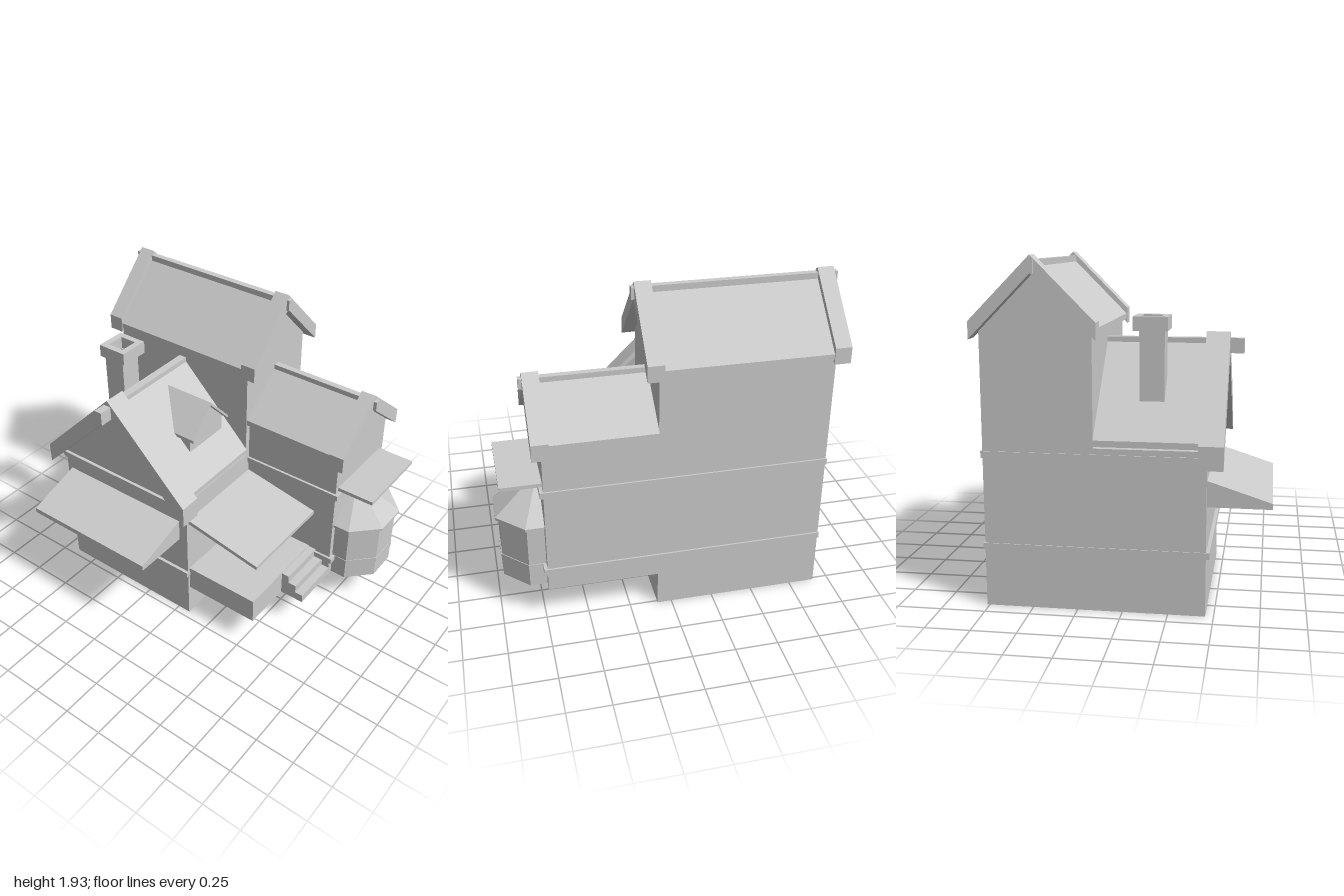
import * as THREE from 'three';

const mat = new THREE.MeshStandardMaterial({ color: 0xcccccc, flatShading: true, side: THREE.DoubleSide });

export function createModel() {
  const house = new THREE.Group();
  house.name = 'house';

  const add = (name, geometry) => {
    const mesh = new THREE.Mesh(geometry, mat);
    mesh.name = name;
    house.add(mesh);
    return mesh;
  };

  // Box given by its limits on each axis
  const boxGeo = (x0, x1, y0, y1, z0, z1) =>
    new THREE.BoxGeometry(x1 - x0, y1 - y0, z1 - z0)
      .translate((x0 + x1) / 2, (y0 + y1) / 2, (z0 + z1) / 2);
  const box = (name, ...limits) => add(name, boxGeo(...limits));

  const polygon = (points) => new THREE.Shape(points.map(([x, y]) => new THREE.Vector2(x, y)));
  const extrude = (shape, depth) => new THREE.ExtrudeGeometry(shape, { depth, bevelEnabled: false });

  // Profile in (across, y) run along an axis from a to b, centred across at c
  const run = (name, points, axis, a, b, c) => {
    const g = extrude(polygon(points), b - a);
    if (axis === 'x') g.rotateY(Math.PI / 2).translate(a, 0, c);
    else g.translate(c, 0, a);
    return add(name, g);
  };

  // Pitched roof of two sloping slabs: peak height, slope, half width, vertical thickness
  const roof = (name, axis, a, b, c, peak, slope, w, t) => {
    const eave = peak - slope * w;
    run(name, [[-w, eave - t], [0, peak - t], [w, eave - t], [w, eave], [0, peak], [-w, eave]], axis, a, b, c);
  };

  // Walls with a gable at each end
  const gable = (name, axis, a, b, c, base, peak, slope, w) => {
    const eave = peak - slope * w;
    run(name, [[-w, base], [w, base], [w, eave], [0, peak], [-w, eave]], axis, a, b, c);
  };

  // Rectangular frame lying flat, with a square opening
  const frame = (name, x0, x1, y0, y1, z0, z1, inset) => {
    const rect = (i) => [[x0 + i, -z1 + i], [x1 - i, -z1 + i], [x1 - i, -z0 - i], [x0 + i, -z0 - i]];
    const shape = polygon(rect(0));
    shape.holes.push(polygon(rect(inset)));
    add(name, extrude(shape, y1 - y0).rotateX(-Math.PI / 2).translate(0, y0, 0));
  };

  // Main walls, open at top and bottom
  const walls = boxGeo(-0.905, 0.085, 0, 0.915, -0.765, 0.455);
  const index = Array.from(walls.index.array);
  index.splice(12, 12);
  walls.setIndex(index);
  walls.clearGroups();
  add('mainWalls', walls);

  // Upper storeys and side wing
  gable('frontGable', 'z', -0.155, 0.455, -0.41, 0.9, 1.41, 1, 0.495);
  gable('towerWalls', 'x', -0.905, 0.085, -0.46, 0.9, 1.85, 1, 0.305);
  gable('wingWalls', 'x', 0.085, 0.73, -0.4775, 0.215, 1.375, 0.8, 0.2875);

  // Roofs with thicker end trims and ridge beams
  roof('towerRoof', 'x', -0.95, 0.13, -0.46, 1.895, 1.01, 0.335, 0.035);
  for (const x of [-0.975, 0.063]) roof('towerRoofTrim', 'x', x, x + 0.095, -0.46, 1.935, 1.01, 0.34, 0.095);
  box('towerRidgeBeam', -0.995, 0.175, 1.84, 1.91, -0.48, -0.44);

  roof('wingRoof', 'x', 0.085, 0.75, -0.47, 1.425, 0.8, 0.31, 0.035);
  roof('wingRoofTrim', 'x', 0.69, 0.785, -0.47, 1.47, 0.82, 0.33, 0.1);
  box('wingRidgeBeam', 0.085, 0.805, 1.38, 1.44, -0.49, -0.45);

  roof('frontRoof', 'z', -0.155, 0.45, -0.41, 1.46, 1, 0.5, 0.035);
  roof('frontRoofTrim', 'z', 0.41, 0.545, -0.41, 1.5, 1, 0.545, 0.13);
  box('frontRidgeBeam', -0.435, -0.385, 1.38, 1.465, -0.155, 0.625);

  // Belt courses around the walls
  for (const y of [0.325, 0.845]) {
    frame('mainBelt', -0.91, 0.084, y, y + 0.037, -0.775, 0.475, 0.06);
    box('frontBelt', -0.91, 0.09, y, y + 0.037, 0.44, 0.475);
    box('wingBelt', 0.05, 0.75, y, y + 0.037, -0.775, -0.175);
  }

  // Chimney with hollow cap
  frame('chimneyShaft', -0.725, -0.585, 1.0, 1.53, 0.07, 0.208, 0.015);
  frame('chimneyCap', -0.745, -0.555, 1.53, 1.607, 0.037, 0.228, 0.04);

  // Dormer on the right slope of the front roof
  gable('dormerWalls', 'x', -0.36, -0.055, 0.075, 1.075, 1.375, 1.05, 0.158);
  roof('dormerRoof', 'x', -0.37, -0.015, 0.075, 1.395, 1.06, 0.173, 0.02);

  // Awnings
  run('frontAwning', [[-0.455, 0.605], [-0.455, 0.75], [-0.803, 0.638], [-0.803, 0.605]], 'x', -0.87, 0.025, 0);
  run('sideAwning', [[0.085, 0.75], [0.59, 0.655], [0.59, 0.68], [0.085, 0.777]], 'z', -0.19, 0.44, 0);

  // Porch and steps
  box('porch', 0.085, 0.575, 0.215, 0.38, -0.19, 0.44);
  for (let i = 0; i < 3; i++) {
    box('step', 0.57, 0.625 + i * 0.053, 0.215, 0.374 - i * 0.052, -0.19, 0.125);
  }

  // Balcony canopy on the wing
  box('sideCanopy', 0.72, 0.965, 0.893, 0.916, -0.727, -0.218);

  // Eight-sided bay window
  const octagon = (name, top, bottom, y0, y1) =>
    add(name, new THREE.CylinderGeometry(top, bottom, y1 - y0, 8)
      .rotateY(Math.PI / 8).translate(0.73, (y0 + y1) / 2, -0.466));
  octagon('bayWalls', 0.26, 0.26, 0.215, 0.62);
  octagon('bayBelt', 0.264, 0.264, 0.325, 0.362);
  octagon('bayEave', 0.284, 0.284, 0.608, 0.625);
  octagon('bayRoof', 0, 0.284, 0.625, 0.835);

  return house;
}
